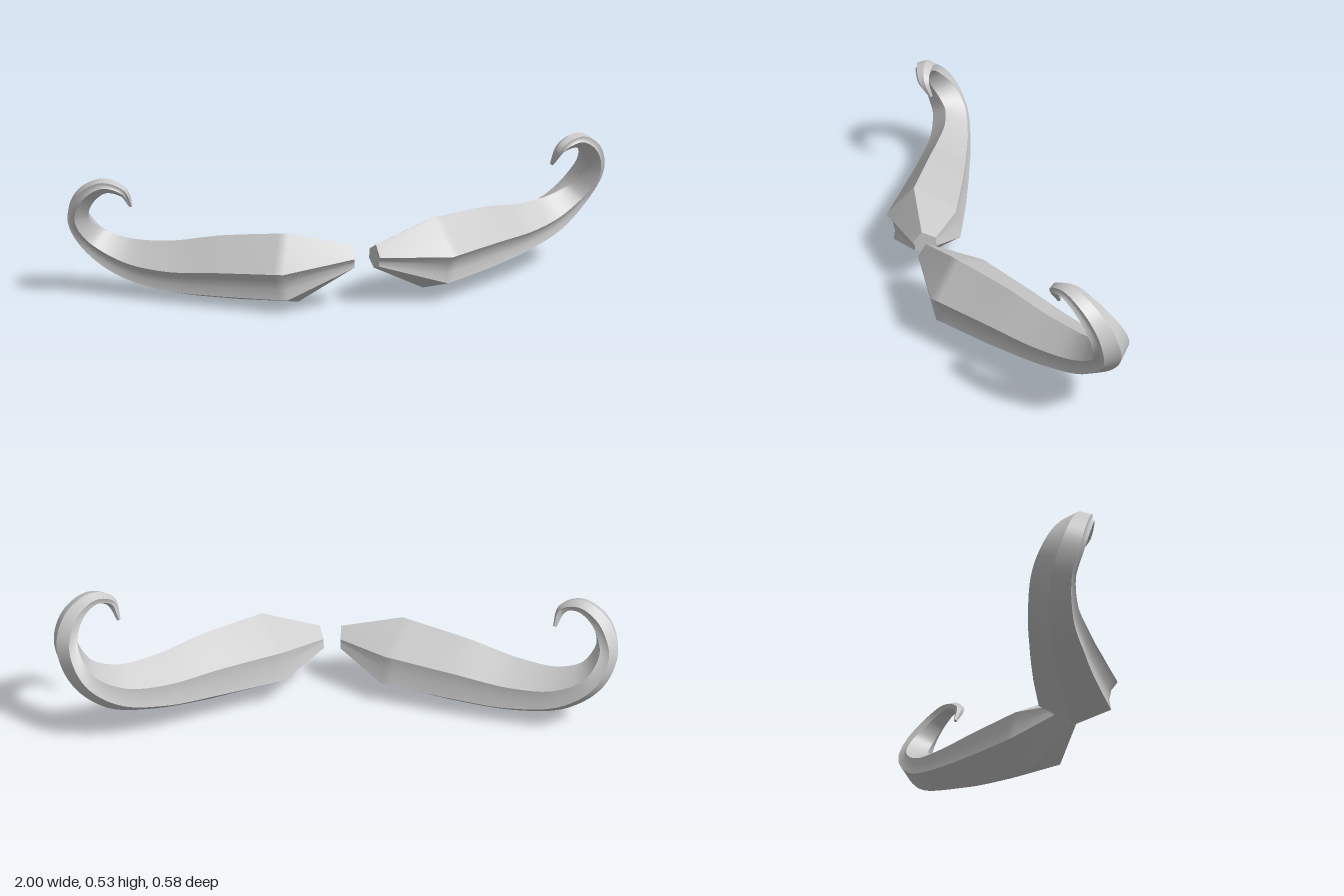
import * as THREE from 'three';

// Ridged cross-section as [up, front] factors, one list per face so that the ridges stay sharp
const STRIPS = [
  [[1, 0.25], [0.55, 0.62], [0.1, 1]],            // upper front
  [[0.1, 1], [-0.12, 0.83], [-0.38, 0.78], [-0.65, 0.82]], // hollow front
  [[-0.65, 0.82], [-1, -0.12]],                   // lower front
  [[-1, -0.12], [-0.42, -1]],                     // lower back
  [[-0.42, -1], [0, -0.88], [0.36, -0.88]],       // hollow back
  [[0.36, -0.88], [0.68, -0.32], [1, 0.25]],      // top
];

// Stations from the middle to the tip: x, y, z, half height, half depth
const LEFT = [
  [0.03, 0.185, 0.195, 0.045, 0.046],
  [0.235, 0.17, 0.155, 0.138, 0.14],
  [0.46, 0.172, 0.05, 0.127, 0.118],
  [0.65, 0.175, -0.04, 0.1, 0.1],
  [0.8, 0.205, -0.1, 0.08, 0.08],
  [0.905, 0.28, -0.118, 0.056, 0.07],
  [0.952, 0.38, -0.08, 0.045, 0.06],
  [0.928, 0.462, -0.035, 0.038, 0.046],
  [0.86, 0.507, 0.005, 0.027, 0.034],
  [0.795, 0.485, 0.025, 0.019, 0.022],
  [0.768, 0.42, 0.0, 0.006, 0.007],
];
const RIGHT = [
  [0.045, 0.185, 0.185, 0.045, 0.046],
  [0.245, 0.145, 0.122, 0.135, 0.14],
  [0.46, 0.128, 0.0, 0.125, 0.12],
  [0.65, 0.115, -0.103, 0.102, 0.1],
  [0.8, 0.14, -0.185, 0.08, 0.08],
  [0.905, 0.21, -0.22, 0.057, 0.07],
  [0.957, 0.305, -0.193, 0.043, 0.06],
  [0.937, 0.385, -0.147, 0.036, 0.046],
  [0.875, 0.43, -0.103, 0.026, 0.034],
  [0.815, 0.41, -0.08, 0.018, 0.022],
  [0.785, 0.35, -0.1, 0.006, 0.007],
];

// A frame places [up, front] factors around a centre
function makeFrame(centre, tangent, size, forward) {
  const front = forward.clone().addScaledVector(tangent, -forward.dot(tangent)).normalize();
  const up = front.clone().cross(tangent).normalize();
  return ([u, d]) => centre.clone()
    .addScaledVector(up, u * size.x)
    .addScaledVector(front, d * size.y);
}

// Smooth surface over a grid of points (rows run along the horn)
function patch(rows, side) {
  const n = rows[0].length;
  const positions = rows.flat().flatMap((p) => [p.x * side, p.y, p.z]);
  const index = [];
  for (let j = 0; j < rows.length - 1; j++) {
    for (let i = 0; i < n - 1; i++) {
      const a = j * n + i, b = a + 1, c = a + n, d = c + 1;
      if (side > 0) index.push(a, b, c, b, d, c);
      else index.push(a, c, b, b, c, d);
    }
  }
  const geometry = new THREE.BufferGeometry();
  geometry.setAttribute('position', new THREE.Float32BufferAttribute(positions, 3));
  geometry.setIndex(index);
  geometry.computeVertexNormals();
  return geometry;
}

// Flat end: the outline joins to the centre, which comes first at the root and last at the tip
function cap(frame, side, isTip) {
  const outline = STRIPS.flatMap((s) => s.slice(0, -1)).map(frame);
  outline.push(outline[0].clone());
  const middle = outline.map(() => frame([0, 0]));
  return patch(isTip ? [outline, middle] : [middle, outline], side);
}

function makeHalf(stations, side, name, material) {
  const half = new THREE.Group();
  half.name = name;
  const add = (geometry, part) => {
    const mesh = new THREE.Mesh(geometry, material);
    mesh.name = part;
    half.add(mesh);
  };

  // Straight taper from the middle to the widest station
  const [x, y, z, h, d] = stations[0];
  const frames = [makeFrame(new THREE.Vector3(x, y, z), new THREE.Vector3(0.98, 0, -0.16).normalize(),
    new THREE.Vector2(h, d), new THREE.Vector3(0.16, 0, 0.98))];

  // Curved body from the widest station to the curled tip
  const body = stations.slice(1);
  const path = new THREE.CatmullRomCurve3(body.map((s) => new THREE.Vector3(s[0], s[1], s[2])));
  const sizes = new THREE.CatmullRomCurve3(body.map((s) => new THREE.Vector3(s[3], s[4], 0)));
  const forward = new THREE.Vector3(0.42, 0, 0.9);
  const steps = 63;
  for (let k = 0; k <= steps; k++) {
    const t = k / steps;
    frames.push(makeFrame(path.getPoint(t), path.getTangent(t), sizes.getPoint(t), forward));
  }

  for (const strip of STRIPS) add(patch(frames.map((f) => strip.map(f)), side), 'curledBody');
  add(cap(frames[0], side, false), 'rootEnd');
  add(cap(frames.at(-1), side, true), 'tipEnd');
  return half;
}

export function createModel() {
  const grey = new THREE.MeshStandardMaterial({ color: 0xc8c8c8 });
  grey.name = 'grey';
  const model = new THREE.Group();
  model.name = 'moustache';
  model.add(makeHalf(LEFT, 1, 'leftHalf', grey), makeHalf(RIGHT, -1, 'rightHalf', grey));
  return model;
}
